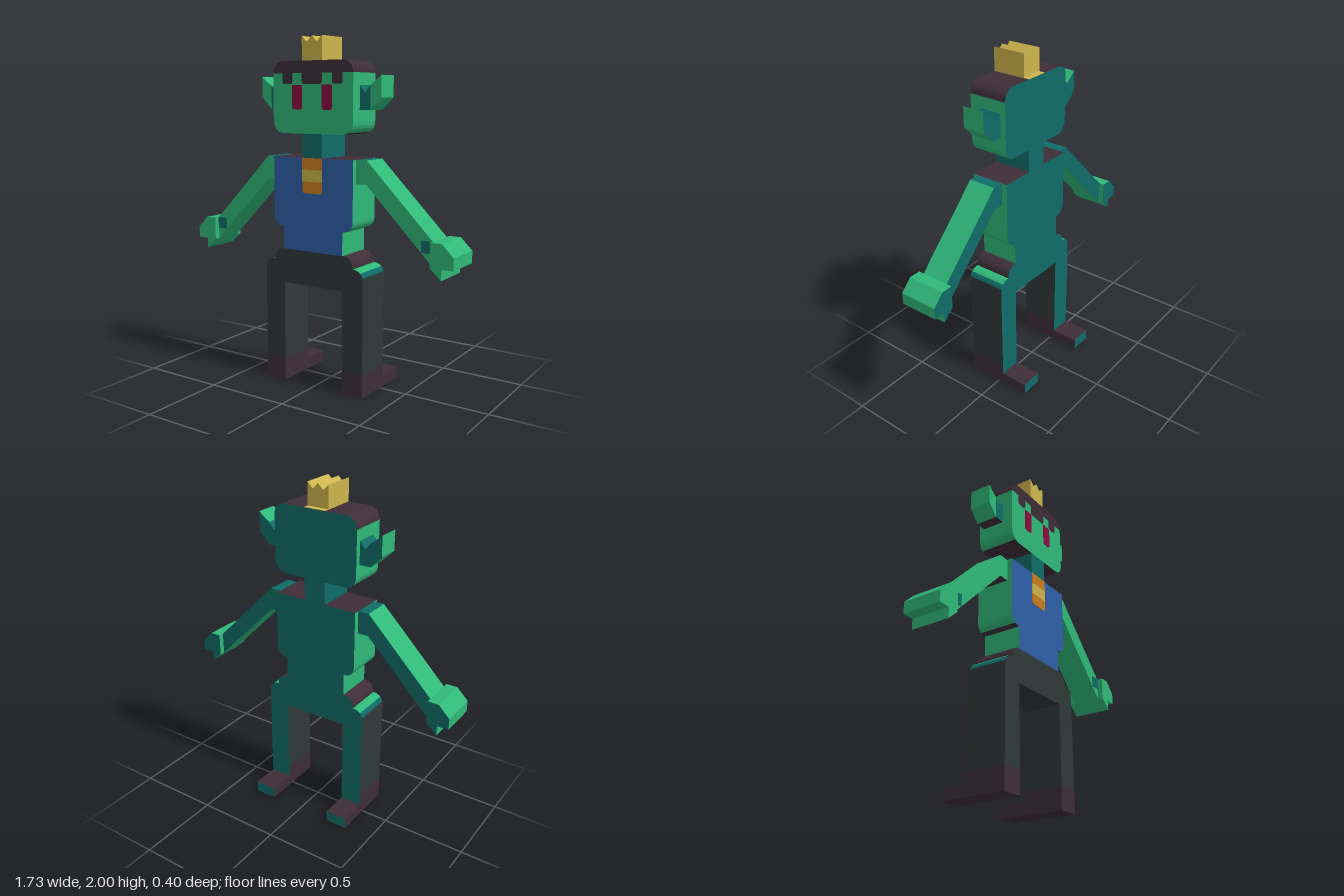
import * as THREE from 'three';

function paint(name, hex) {
  const m = new THREE.MeshStandardMaterial({ color: hex });
  m.name = name;
  return m;
}

// Points are [x, y] or [x, y, r], where r rounds the corner.
function outline(points) {
  const out = [];
  points.forEach(([x, y, r], i) => {
    const c = new THREE.Vector2(x, y);
    if (!r) return out.push(c);
    const n = points.length;
    const toward = (p) => new THREE.Vector2(p[0], p[1]).sub(c).setLength(r);
    const a = toward(points[(i + n - 1) % n]);
    const b = toward(points[(i + 1) % n]);
    for (let k = 0; k <= 6; k++) {
      const t = (k / 6) * Math.PI / 2;
      out.push(c.clone().addScaledVector(a, 1 - Math.sin(t)).addScaledVector(b, 1 - Math.cos(t)));
    }
  });
  return THREE.ShapeUtils.isClockWise(out) ? out.reverse() : out;
}

// Slab between two depths; wall is a material or a rule (midY, normalX, normalY) => material.
function slab(name, points, z0, z1, front, back = front, wall = front) {
  const pts = outline(points);
  const faces = new Map();
  const add = (mat, ...verts) => {
    if (!faces.has(mat)) faces.set(mat, []);
    for (const [p, z] of verts) faces.get(mat).push(p.x, p.y, z);
  };
  for (const [a, b, c] of THREE.ShapeUtils.triangulateShape(pts, [])) {
    add(front, [pts[a], z1], [pts[b], z1], [pts[c], z1]);
    add(back, [pts[c], z0], [pts[b], z0], [pts[a], z0]);
  }
  pts.forEach((p, i) => {
    const q = pts[(i + 1) % pts.length];
    const len = p.distanceTo(q);
    if (len < 1e-6) return;
    const mat = typeof wall === 'function'
      ? wall((p.y + q.y) / 2, (q.y - p.y) / len, (p.x - q.x) / len) : wall;
    add(mat, [p, z0], [q, z0], [q, z1]);
    add(mat, [p, z0], [q, z1], [p, z1]);
  });
  const geo = new THREE.BufferGeometry();
  const data = [];
  const mats = [];
  for (const [mat, list] of faces) {
    geo.addGroup(data.length / 3, list.length / 3, mats.length);
    mats.push(mat);
    for (const v of list) data.push(v);
  }
  geo.setAttribute('position', new THREE.Float32BufferAttribute(data, 3));
  geo.computeVertexNormals();
  const mesh = new THREE.Mesh(geo, mats);
  mesh.name = name;
  return mesh;
}

const flip = (points) => points.map(([x, y, r]) => [-x, y, r]);
const symmetric = (half) => [...half, ...flip(half).reverse()];
const rect = (x0, y0, x1, y1) => [[x0, y0], [x1, y0], [x1, y1], [x0, y1]];

export function createModel() {
  const green = paint('skin green', 0x30b878);
  const teal = paint('shadow teal', 0x0f6c68);
  const blue = paint('shirt blue', 0x2e5fa8);
  const brown = paint('hair brown', 0x3e2e38);
  const charcoal = paint('trouser charcoal', 0x2f3838);
  const yellow = paint('gold', 0xcdb54d);
  const orange = paint('orange', 0xc97d20);
  const crimson = paint('eye crimson', 0x8a0c3e);

  const group = new THREE.Group();
  const part = (...args) => group.add(slab(...args));
  const pair = (name, points, ...rest) => {
    part('left' + name, points, ...rest);
    part('right' + name, flip(points), ...rest);
  };
  const B = -0.033, F = 0.2, P = 0.203;
  const skinWall = (y, nx, ny) => (Math.abs(ny) > 0.9 ? brown : green);

  // Trousers, with coloured steps over the hips
  part('trousers', symmetric([
    [0.2, 0.6], [0.2, 0.133], [0.333, 0.133], [0.333, 0.733, 0.06],
    [0.267, 0.733], [0.267, 0.8, 0.06],
  ]), B, F, charcoal, teal, (y, nx, ny) => {
    if (ny < 0.1) return charcoal;
    if (y > 0.735) return brown;
    return y > 0.717 ? green : y > 0.685 ? teal : charcoal;
  });

  // Shoes and the soles reaching backward
  pair('Shoe', rect(0.2, 0, 0.333, 0.133), B, F, brown, teal);
  pair('Sole', rect(0.2, 0, 0.333, 0.067), -0.2, B, brown, teal);

  // Torso
  part('torso', symmetric([
    [0.2, 0.8], [0.2, 0.933], [0.267, 0.933, 0.06], [0.267, 1.333],
  ]), B, F, blue, teal, skinWall);

  // Striped neckpiece
  part('upperBand', rect(-0.067, 1.267, 0.067, 1.333), F, P, orange);
  part('middleBand', rect(-0.067, 1.2, 0.067, 1.267), F, P, yellow);
  part('lowerBand', symmetric([[0.067, 1.133, 0.015], [0.067, 1.2]]), F, P, orange);

  // Arms, cuffs and hands
  pair('Arm', [
    [0.267, 1.2], [0.333, 1.2], [0.733, 0.8], [0.733, 0.933], [0.333, 1.333], [0.267, 1.333],
  ], 0, 0.167, green, teal, (y, nx, ny) => (ny > 0.9 ? teal : ny < -0.9 ? brown : green));
  pair('Cuff', rect(0.667, 0.867, 0.733, 0.933), 0.167, 0.17, teal);
  pair('Hand', [
    [0.733, 0.8], [0.8, 0.74], [0.8, 0.8], [0.867, 0.8], [0.867, 0.867], [0.8, 0.933], [0.733, 0.933],
  ], B, F, green, teal, green);

  // Neck, face and hair
  part('neck', rect(-0.067, 1.333, 0.067, 1.467), B, F, teal);
  part('face', symmetric([[0.267, 1.467, 0.067], [0.267, 1.8]]), B, F, green, teal, skinWall);
  part('hair', symmetric([[0.267, 1.8], [0.267, 1.867, 0.066]]), B, F, brown, teal, brown);
  part('middleFringe', symmetric([[0.067, 1.74, 0.015], [0.067, 1.8]]), F, P, brown);
  pair('Fringe', [[0.133, 1.74, 0.015], [0.2, 1.74, 0.015], [0.2, 1.8], [0.133, 1.8]], F, P, brown);
  pair('Eye', [
    [0.067, 1.6, 0.015], [0.133, 1.6, 0.015], [0.133, 1.735], [0.067, 1.735],
  ], F, P, crimson);

  // Ears
  pair('InnerEar', [
    [0.267, 1.6], [0.333, 1.6], [0.333, 1.733], [0.3, 1.693], [0.267, 1.733],
  ], 0, 0.133, teal, teal, (y, nx, ny) => (ny < -0.9 ? brown : teal));
  pair('OuterEar', [
    [0.333, 1.6], [0.4, 1.667], [0.4, 1.785], [0.375, 1.763], [0.333, 1.733],
  ], 0, 0.133, green, teal, green);

  // Crown and the gold strip behind it
  part('crown', symmetric([[0.067, 1.867], [0.067, 2], [0.033, 1.967], [0, 2]]).filter((p, i) => i !== 4),
    0, F, yellow);
  part('crownBase', rect(-0.067, 1.867, 0.067, 1.87), B, 0, yellow);

  return group;
}
